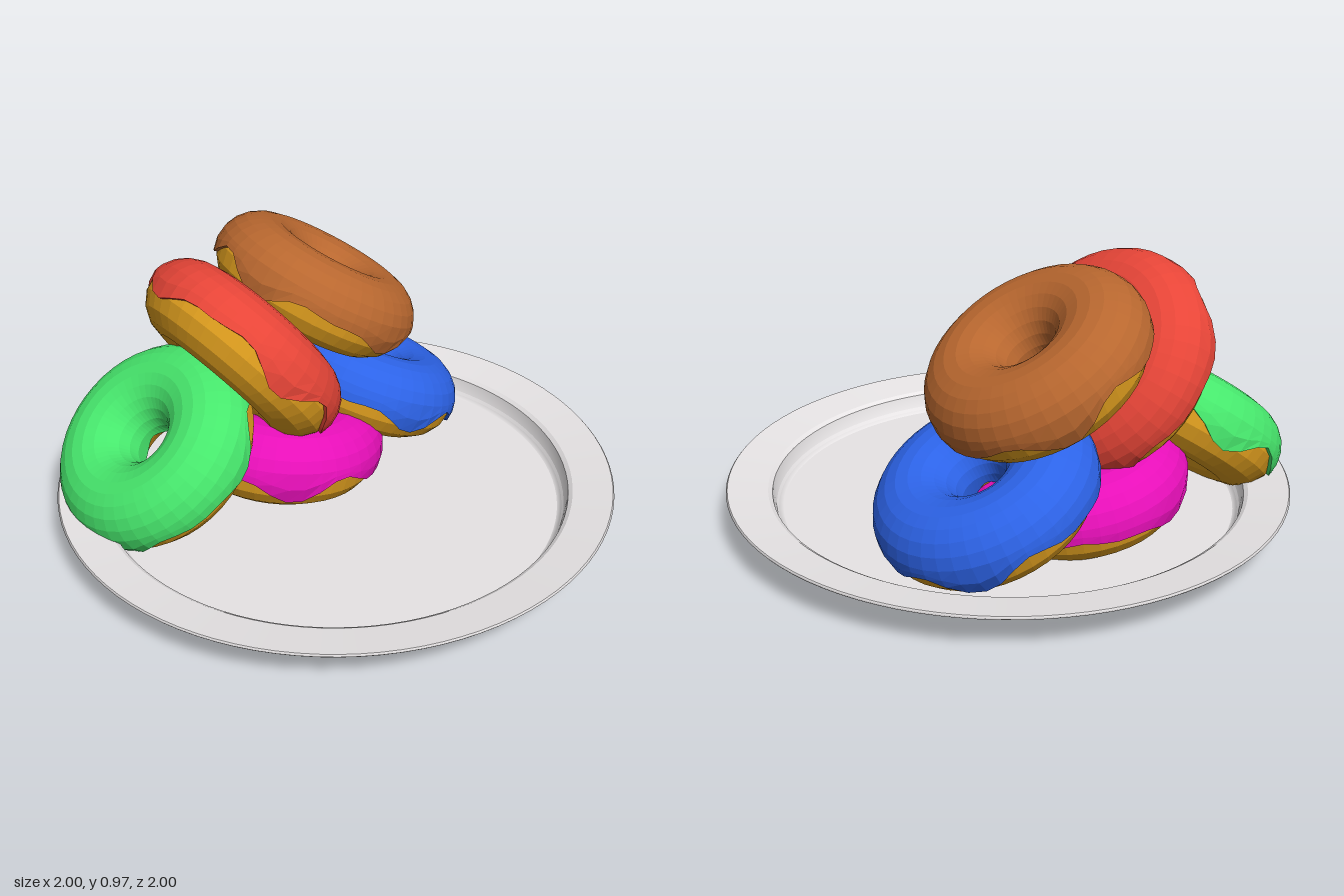
import * as THREE from 'three';

const RING = 0.235;   // centre line radius of each donut
const DOUGH = 0.143;  // dough tube radius
const ICING = 0.154;  // icing tube radius
const SEGMENTS = 42;

const mat = (name, color, opts = {}) => {
  const m = new THREE.MeshStandardMaterial({ color, ...opts });
  m.name = name;
  return m;
};

// Ring surface: section(u) returns [radius, angle] pairs around the tube
function ringSurface(section) {
  const pos = [], index = [];
  let n = 0;
  for (let i = 0; i < SEGMENTS; i++) {
    const u = (i / SEGMENTS) * Math.PI * 2;
    const pts = section(u);
    n = pts.length;
    for (const [r, a] of pts) {
      const d = RING + r * Math.cos(a);
      pos.push(d * Math.cos(u), r * Math.sin(a), d * Math.sin(u));
    }
  }
  for (let i = 0; i < SEGMENTS; i++) {
    const k = (i + 1) % SEGMENTS;
    for (let j = 0; j < n - 1; j++) {
      const a = i * n + j, b = a + 1, c = k * n + j, d = c + 1;
      index.push(a, b, c, b, d, c);
    }
  }
  const g = new THREE.BufferGeometry();
  g.setAttribute('position', new THREE.Float32BufferAttribute(pos, 3));
  g.setIndex(index);
  g.computeVertexNormals();
  return g;
}

// Icing shell: even rows over the top, wavy edges with a lip folding back into the dough
function icingGeometry(phase) {
  return ringSurface((u) => {
    const start = -0.2 + 0.21 * Math.sin(5 * u + phase) + 0.13 * Math.sin(8 * u + 2 * phase);
    const end = Math.PI + 0.35 + 0.12 * Math.sin(4 * u + phase);
    const pts = [[DOUGH - 0.01, start], [ICING, start], [ICING, (start + 0.3) / 2]];
    for (let j = 0; j <= 10; j++) pts.push([ICING, 0.3 + ((Math.PI - 0.3) * j) / 10]);
    pts.push([ICING, end], [DOUGH - 0.01, end]);
    return pts;
  });
}

export function createModel() {
  const model = new THREE.Group();
  model.name = 'plateOfDonuts';
  const flat = { flatShading: true, side: THREE.DoubleSide };
  const doughMat = mat('dough', 0xdc9c1e, flat);
  const plateMat = mat('plateGrey', 0xe7e4e5, { side: THREE.DoubleSide });

  // Plate: repeated points keep the edges sharp
  const profile = [
    [0, 0.04], [0.79, 0.04], [0.79, 0.04], [0.81, 0.047], [0.84, 0.095], [0.855, 0.106], [0.88, 0.112],
    [0.995, 0.138], [0.995, 0.138], [1, 0.144], [0.995, 0.15], [0.995, 0.15],
    [0.855, 0.132], [0.855, 0.132], [0.84, 0.122], [0.84, 0.122], [0.825, 0.066], [0.805, 0.056], [0.805, 0.056], [0, 0.056],
  ].map(([x, y]) => new THREE.Vector2(x, y));
  const plate = new THREE.Mesh(new THREE.LatheGeometry(profile, 96), plateMat);
  plate.name = 'plate';
  plate.rotation.x = -0.007;
  model.add(plate);

  // Full dough ring shared by every donut
  const doughGeo = ringSurface(() =>
    Array.from({ length: 17 }, (_, j) => [DOUGH, (j / 16) * Math.PI * 2]));

  // name, icing colour, position, forward tilt, sideways tilt (degrees), wave phase, width scale
  const donuts = [
    ['pink', 0xf010c0, [-0.07, 0.192, -0.27], 0, -10, 0.6, 1.03],
    ['blue', 0x2f68f2, [0.35, 0.286, -0.3], 2, -26, 2.1, 1],
    ['green', 0x4cf674, [-0.553, 0.31, -0.315], 0, 38.5, 4.0, 1],
    ['red', 0xf0483a, [-0.208, 0.596, -0.273], 0, -54, 1.3, 1.06],
    ['chocolate', 0xb8672f, [0.168, 0.705, -0.343], 7, -31, 3.2, 1.015],
  ];
  for (const [name, color, position, tiltX, tiltZ, phase, size] of donuts) {
    const donut = new THREE.Group();
    donut.name = name + 'Donut';
    const dough = new THREE.Mesh(doughGeo, doughMat);
    dough.name = name + 'DonutDough';
    const icing = new THREE.Mesh(icingGeometry(phase), mat(name + 'Icing', color, flat));
    icing.name = name + 'DonutIcing';
    donut.add(dough, icing);
    donut.position.set(...position);
    donut.rotation.set(THREE.MathUtils.degToRad(tiltX), 0, THREE.MathUtils.degToRad(tiltZ));
    donut.scale.set(size, 1, size);
    model.add(donut);
  }
  return model;
}
